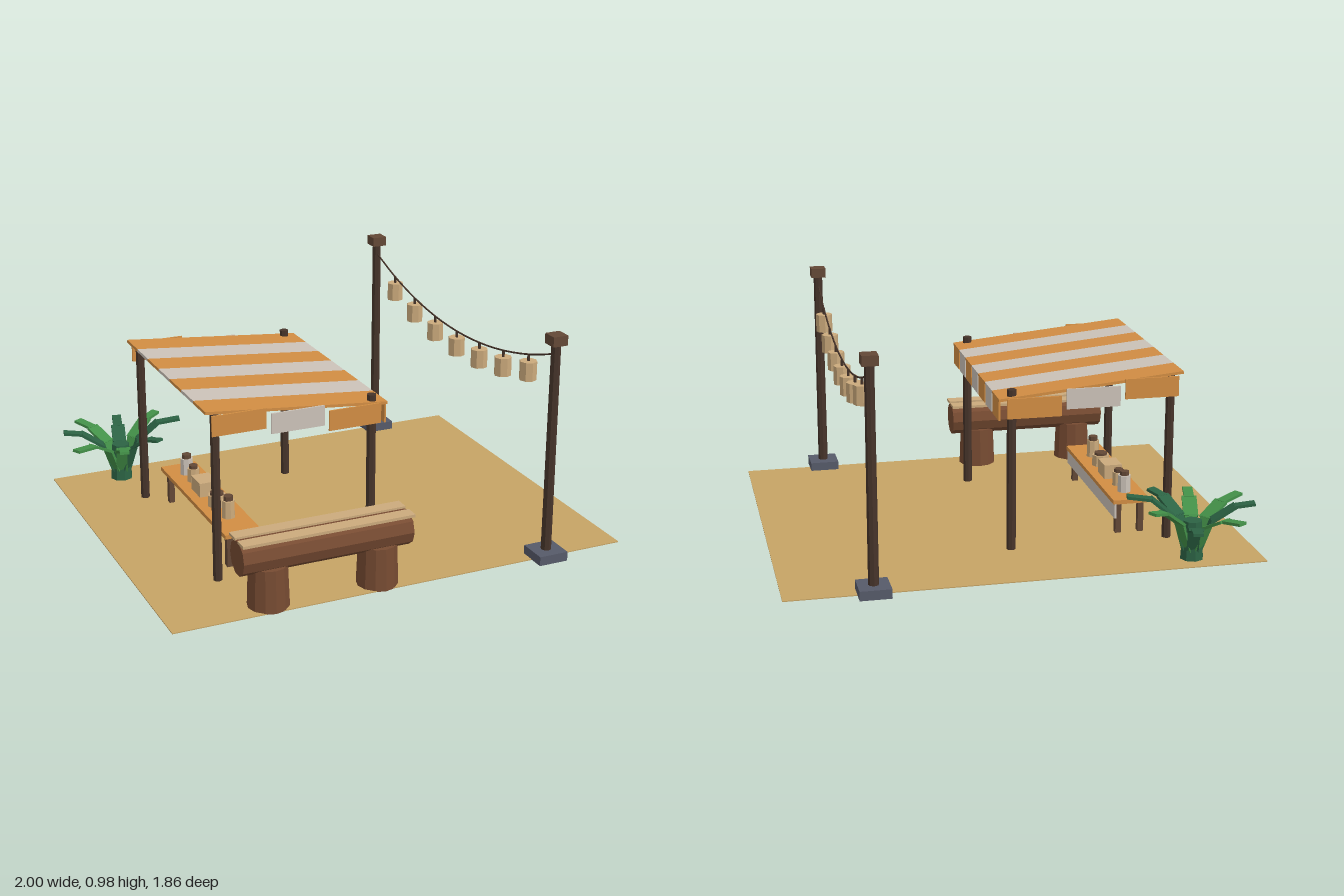
import * as THREE from 'three';

const mat = (name, color, extra = {}) => {
  const m = new THREE.MeshStandardMaterial({ color, flatShading: true, ...extra });
  m.name = name;
  return m;
};

export function createModel() {
  const sand = mat('sand', 0xc6a465);
  const orange = mat('orange cloth', 0xd18d43);
  const cream = mat('cream cloth', 0xcbc2b8);
  const darkWood = mat('dark wood', 0x46342a);
  const capWood = mat('brown wood', 0x634836);
  const logWood = mat('log bark', 0x774b32);
  const slate = mat('slate', 0x565a69);
  const tan = mat('pale tan', 0xcbaa7c);
  const darkGreen = mat('dark leaf', 0x2c6344);
  const brightGreen = mat('bright leaf', 0x439048);

  const model = new THREE.Group();
  model.name = 'marketStall';

  const group = (name, x = 0, y = 0, z = 0, parent = model) => {
    const g = new THREE.Group();
    g.name = name;
    g.position.set(x, y, z);
    parent.add(g);
    return g;
  };
  const add = (parent, name, geo, material, x, y, z) => {
    const m = new THREE.Mesh(geo, material);
    m.name = name;
    m.position.set(x, y, z);
    parent.add(m);
    return m;
  };
  const box = (p, name, material, w, h, d, x, y, z) =>
    add(p, name, new THREE.BoxGeometry(w, h, d), material, x, y, z);
  // Upright cylinder standing on y
  const cyl = (p, name, material, rTop, rBase, h, sides, x, y, z) =>
    add(p, name, new THREE.CylinderGeometry(rTop, rBase, h, sides), material, x, y + h / 2, z);

  // Ground slab
  box(model, 'ground', sand, 2, 0.004, 1.63, 0, 0.002, 0.047);

  // Lantern poles
  const midZ = 0.05, halfSpan = 0.815, poleX = 0.64;
  for (const s of [-1, 1]) {
    const pole = group('lanternPole', poleX, 0, midZ + s * halfSpan);
    box(pole, 'poleBase', slate, 0.13, 0.04, 0.13, 0, 0.022, 0);
    cyl(pole, 'poleShaft', darkWood, 0.02, 0.022, 0.92, 8, 0, 0.03, 0);
    box(pole, 'poleCap', capWood, 0.066, 0.042, 0.066, 0, 0.957, 0);
  }

  // Sagging wire and its lanterns
  const wireY = t => 0.745 + 0.15 * t * t;
  const points = [];
  for (let i = -4; i <= 4; i++) {
    points.push(new THREE.Vector3(poleX, wireY(i / 4), midZ + (i / 4) * halfSpan));
  }
  const path = new THREE.CatmullRomCurve3(points);
  add(model, 'wire', new THREE.TubeGeometry(path, 24, 0.004, 5), darkWood, 0, 0, 0);
  for (let i = -3; i <= 3; i++) {
    const lantern = group('lantern', poleX, wireY(i / 4), midZ + (i / 4) * halfSpan);
    cyl(lantern, 'lanternHook', darkWood, 0.006, 0.006, 0.03, 6, 0, -0.03, 0);
    cyl(lantern, 'lanternBody', tan, 0.037, 0.037, 0.08, 8, 0, -0.107, 0);
  }

  // Stall posts: the front pair pokes through the canopy
  for (const z of [-0.405, 0.505]) {
    cyl(model, 'frontPost', darkWood, 0.02, 0.02, 0.7, 8, 0.003, 0, z);
    cyl(model, 'backPost', darkWood, 0.019, 0.02, 0.72, 8, -0.678, 0, z);
  }

  // Striped sloping canopy
  const canopyZ = 0.048, stripe = 0.138;
  const slope = -Math.atan2(0.075, 0.785);
  const canopy = group('canopy', -0.331, 0.7, canopyZ);
  canopy.rotation.z = slope;
  for (let i = -3; i <= 3; i++) {
    const cloth = i % 2 ? orange : cream;
    box(canopy, 'canopyStripe', cloth, 0.79, 0.012, stripe, 0, 0, i * stripe);
    box(model, 'frontFlap', cloth, 0.008, 0.088, 0.118, 0.058, 0.618, canopyZ + i * stripe);
  }
  // Hanging flaps along both sloping sides
  for (const s of [-1, 1]) {
    for (let i = 0; i < 3; i++) {
      box(model, 'sideFlap', i === 1 ? cream : orange, 0.23, 0.086, 0.008,
        -0.587 + i * 0.251, 0.682 - i * 0.0275, canopyZ + s * 0.489);
    }
  }

  // Counter table with a cloth on its front
  const table = group('table', -0.54, 0, 0.05);
  box(table, 'tableTop', orange, 0.16, 0.018, 0.79, 0, 0.152, 0);
  box(table, 'tableCloth', cream, 0.008, 0.066, 0.79, 0.071, 0.112, 0);
  for (const x of [-0.05, 0.05]) {
    for (const z of [-0.355, 0.355]) {
      box(table, 'tableLeg', capWood, 0.025, 0.145, 0.027, x, 0.0725, z);
    }
  }

  // Goods: z, body radius, body height, lid radius, lid height, colour
  const jars = [
    [0.275, 0.029, 0.077, 0.021, 0.02, tan],
    [0.143, 0.041, 0.05, 0.03, 0.011, tan],
    [-0.142, 0.028, 0.06, 0.02, 0.015, tan],
    [-0.23, 0.03, 0.075, 0.021, 0.018, cream],
  ];
  for (const [z, r, h, lidR, lidH, material] of jars) {
    const jar = group('jar', -0.54, 0.16, z);
    cyl(jar, 'jarBody', material, r * 0.95, r, h, 8, 0, 0, 0);
    cyl(jar, 'jarLid', capWood, lidR, lidR, lidH, 8, 0, h, 0);
  }
  box(model, 'goodsBox', tan, 0.08, 0.064, 0.105, -0.54, 0.192, -0.008);

  // Log bench: bark log, two stump legs, two seat planks
  const bench = group('bench', -0.337, 0, 0.786);
  const log = add(bench, 'log', new THREE.CylinderGeometry(0.074, 0.074, 0.73, 10),
    logWood, 0, 0.228, 0);
  log.rotation.z = Math.PI / 2;
  for (const s of [-1, 1]) {
    cyl(bench, 'stumpLeg', logWood, 0.079, 0.086, 0.18, 12, s * 0.237, 0, 0);
    box(bench, 'seatPlank', tan, 0.735, 0.012, 0.06, 0, 0.301, s * 0.044);
  }

  // Fern: a core with arching leaves made of three flat segments
  const plant = group('plant', -0.705, 0, -0.665);
  cyl(plant, 'plantCore', darkGreen, 0.04, 0.05, 0.17, 8, 0, 0, 0);
  // Heading in degrees from +x towards +z, reach, lift of the tip
  const leaves = [
    [-120, 0.26, 0.0], [-76, 0.265, -0.02], [-29, 0.24, 0.03], [12, 0.27, 0.05],
    [61, 0.24, 0.02], [103, 0.25, 0.0], [151, 0.28, 0.0], [-168, 0.25, 0.02],
  ];
  leaves.forEach(([deg, reach, lift], i) => {
    const leaf = group('leaf', 0, 0, 0, plant);
    leaf.rotation.y = -THREE.MathUtils.degToRad(deg);
    const spine = [
      [0.03, 0.04], [0.08, 0.16 + lift * 0.5], [0.17, 0.21 + lift], [reach, 0.222 + lift],
    ];
    const widths = [0.05, 0.062, 0.042];
    for (let k = 0; k < 3; k++) {
      const [ax, ay] = spine[k], [bx, by] = spine[k + 1];
      const seg = box(leaf, 'leafSegment', i % 3 === 2 || i === 0 || i === 6 ? brightGreen : darkGreen,
        Math.hypot(bx - ax, by - ay) + 0.008, 0.012, widths[k], (ax + bx) / 2, (ay + by) / 2, 0);
      seg.rotation.z = Math.atan2(by - ay, bx - ax);
    }
  });

  return model;
}
